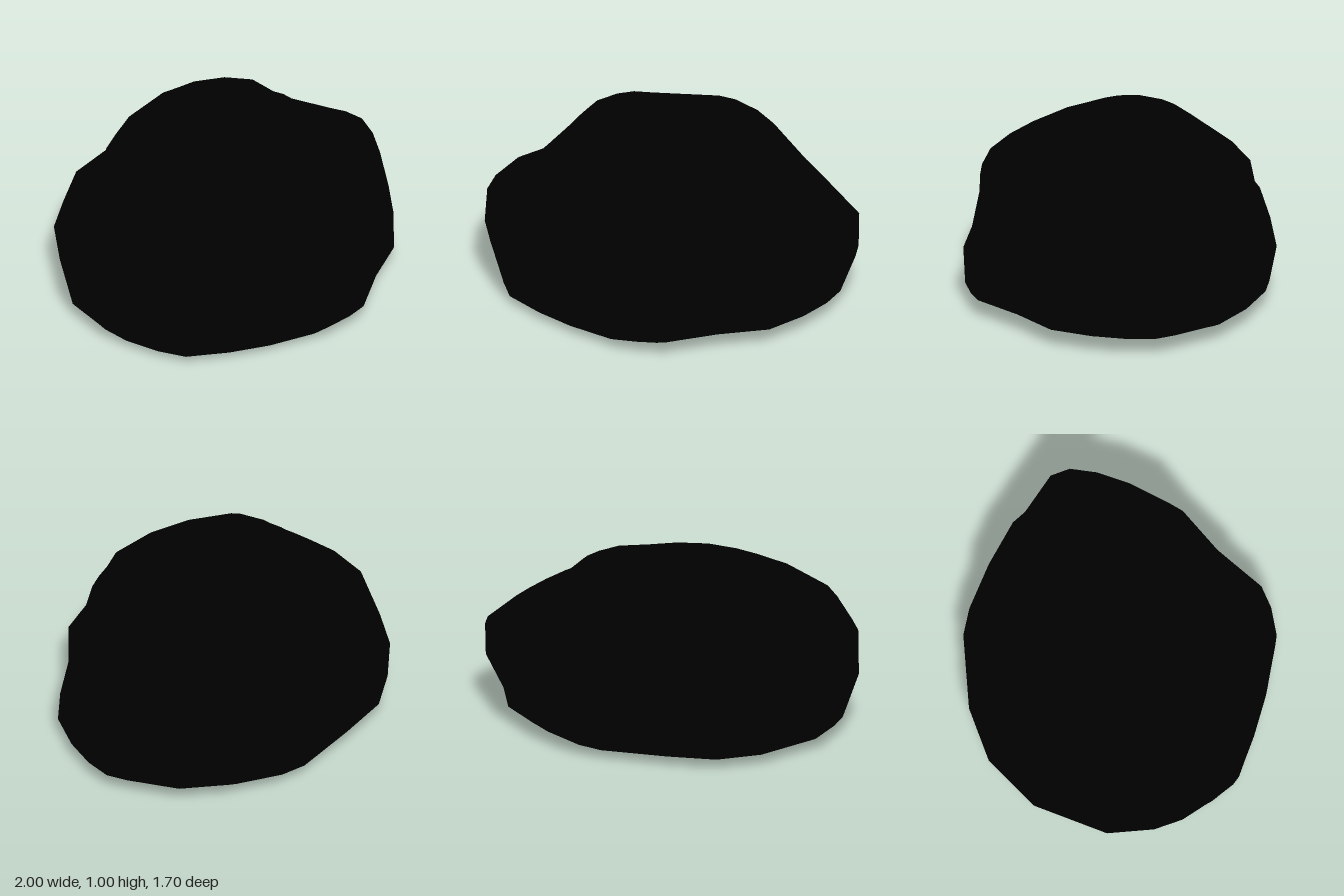
import * as THREE from 'three';

// Widest outline of the boulder seen from above, as [x, z]
const OUTLINE = [
  [1, 0], [1, 0.12], [0.93, 0.26], [0.81, 0.42], [0.64, 0.59], [0.37, 0.69], [0.1, 0.84], [-0.03, 0.85],
  [-0.19, 0.83], [-0.46, 0.69], [-0.67, 0.55], [-0.88, 0.38], [-0.95, 0.22], [-1, 0], [-0.98, -0.17],
  [-0.89, -0.41], [-0.6, -0.72], [-0.34, -0.85], [-0.03, -0.85], [0.37, -0.74], [0.5, -0.66], [0.7, -0.48],
  [0.88, -0.28],
];

// Cross-sections from base to crown: height, reach to +x, -x, +z, -z,
// then fullness of the corners front left, front right, back right, back left
const LEVELS = [
  [0.012, 0.38, -0.42, 0.38, -0.38, 1, 1, 1, 1],
  [0.05, 0.78, -0.9, 0.76, -0.73, 1.05, 1.03, 1.02, 1.12],
  [0.1, 0.91, -0.93, 0.84, -0.77, 1.05, 0.98, 1.06, 1.08],
  [0.3, 1, -1, 0.85, -0.85, 1, 0.98, 1, 1],
  [0.48, 1, -0.99, 0.74, -0.79, 1.01, 1.06, 0.99, 0.9],
  [0.6, 0.84, -0.86, 0.71, -0.71, 1.05, 1.12, 0.86, 1.03],
  [0.66, 0.73, -0.78, 0.68, -0.69, 1.08, 1.17, 0.87, 1.11],
  [0.75, 0.59, -0.67, 0.52, -0.65, 1.08, 1.22, 0.85, 1.19],
  [0.87, 0.47, -0.55, 0.31, -0.49, 1.1, 1.13, 0.93, 1.26],
  [0.925, 0.18, -0.47, 0.1, -0.39, 1.1, 1.08, 1, 1.2],
];

// Fits the outline into one level, swelling or tucking in each corner
function ring([y, right, left, front, back, ...corners]) {
  return OUTLINE.map(([nx, oz]) => {
    const nz = oz / 0.85;
    const fullness = corners[nz >= 0 ? (nx >= 0 ? 0 : 1) : (nx < 0 ? 2 : 3)];
    const diagonal = (2 * Math.abs(nx * nz)) / (nx * nx + nz * nz);
    const f = 1 + (fullness - 1) * diagonal;
    return [
      (right + left) / 2 + (nx * f * (right - left)) / 2,
      y,
      (front + back) / 2 + (nz * f * (front - back)) / 2,
    ];
  });
}

function boulderGeometry() {
  const n = OUTLINE.length;
  const points = LEVELS.flatMap(ring);
  const base = points.push([0, 0, 0]) - 1;
  const peak = points.push([-0.25, 1, -0.15]) - 1;
  const last = (LEVELS.length - 1) * n;
  const index = [];
  for (let i = 0; i < n; i++) {
    const j = (i + 1) % n;
    for (let r = 0; r < last; r += n) {
      index.push(r + i, r + n + i, r + j, r + j, r + n + i, r + n + j);
    }
    index.push(base, i, j, peak, last + j, last + i);
  }
  const geometry = new THREE.BufferGeometry();
  geometry.setAttribute('position', new THREE.Float32BufferAttribute(points.flat(), 3));
  geometry.setIndex(index);
  geometry.computeVertexNormals();
  return geometry;
}

export function createModel() {
  const group = new THREE.Group();
  group.name = 'rock';
  const boulder = new THREE.Mesh(boulderGeometry(), new THREE.MeshStandardMaterial({ color: 0x000000 }));
  boulder.name = 'boulder';
  group.add(boulder);
  return group;
}
